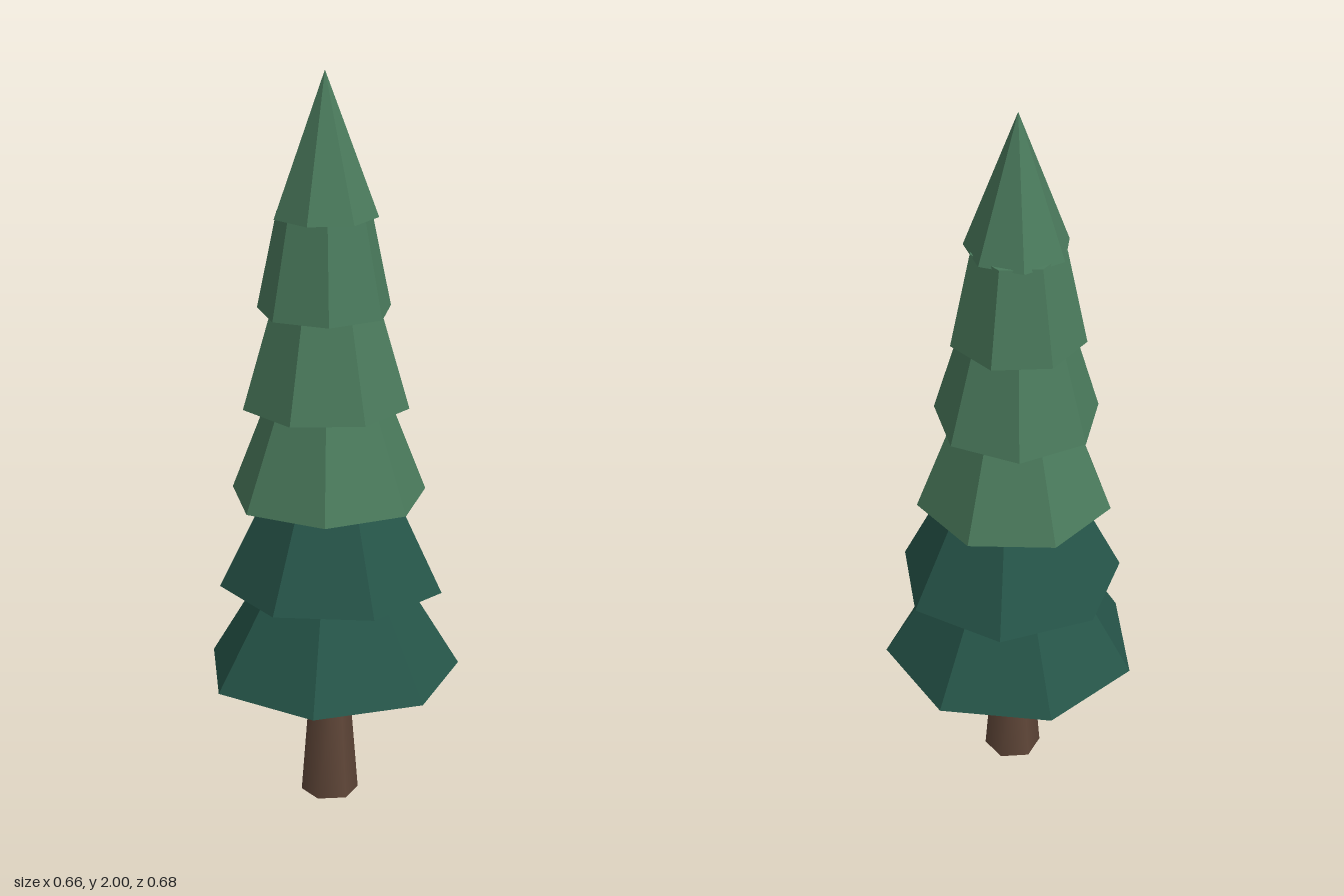
import * as THREE from 'three';

const SIDES = 7;

// base y, bottom radius, top radius, centre x, centre z, heading of one corner in degrees (from +x towards +z)
const TIERS = [
  [0.363, 0.349, 0.193, -0.018, 0, 0],
  [0.615, 0.305, 0.177, -0.014, -0.005, 22.9],
  [0.867, 0.265, 0.164, -0.027, 0.011, -6],
  [1.12, 0.223, 0.147, -0.033, 0.01, 16.5],
  [1.372, 0.18, 0.126, -0.034, 0, -11.2],
  [1.625, 0.139, 0, -0.034, 0.012, 11.5],
];

export function createModel() {
  const tree = new THREE.Group();
  tree.name = 'pineTree';

  const bark = new THREE.MeshStandardMaterial({ color: 0x5f4638 });
  bark.name = 'bark brown';
  const darkNeedles = new THREE.MeshStandardMaterial({ color: 0x265549, flatShading: true });
  darkNeedles.name = 'dark needle green';
  const lightNeedles = new THREE.MeshStandardMaterial({ color: 0x4a7a5c, flatShading: true });
  lightNeedles.name = 'light needle green';

  // Tapered six-sided trunk, corners on the x axis
  const trunk = new THREE.Mesh(
    new THREE.CylinderGeometry(0.047, 0.078, 0.4, 6, 1, false, Math.PI / 2), bark);
  trunk.name = 'trunk';
  trunk.position.set(-0.023, 0.2, 0.002);
  tree.add(trunk);

  // Stacked skirts of foliage, each twisted and shifted a little; the last ends in a point
  TIERS.forEach(([y, bottom, top, x, z, heading], i) => {
    const height = top ? 0.26 : 2 - y;
    const profile = [
      new THREE.Vector2(0, -0.008),
      new THREE.Vector2(bottom, 0),
      new THREE.Vector2(top, height),
    ];
    if (top) profile.push(new THREE.Vector2(0, height));
    const start = Math.PI / 2 - THREE.MathUtils.degToRad(heading);
    const tier = new THREE.Mesh(
      new THREE.LatheGeometry(profile, SIDES, start), i < 2 ? darkNeedles : lightNeedles);
    tier.name = `foliageTier${i + 1}`;
    tier.position.set(x, y, z);
    tree.add(tier);
  });

  return tree;
}
